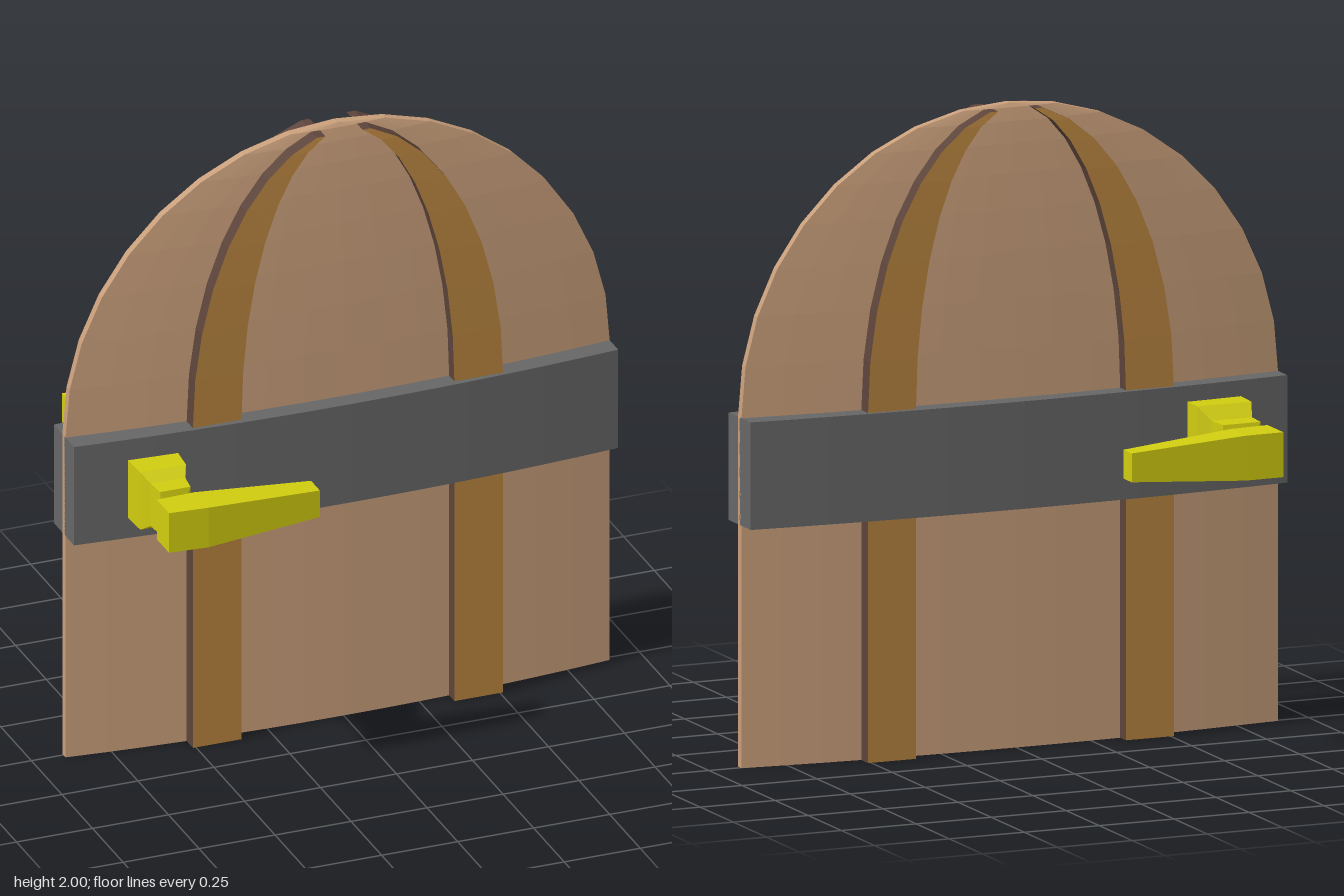
import * as THREE from 'three';

const mat = (color) => new THREE.MeshStandardMaterial({ color, flatShading: true, roughness: 0.8 });

// Skin a solid through equal-length rings; one material, or one per side plus one for the caps.
function loft(name, rings, material) {
  const n = rings[0].length, last = rings.length - 1;
  const tris = [];
  const groups = [];
  for (let j = 0; j < n; j++) {
    const k = (j + 1) % n, start = tris.length;
    for (let i = 0; i < last; i++) {
      const a = rings[i][j], b = rings[i][k], c = rings[i + 1][k], d = rings[i + 1][j];
      tris.push([a, b, c], [a, c, d]);
    }
    groups.push([start, tris.length - start]);
  }
  const capStart = tris.length;
  for (let j = 1; j < n - 1; j++) {
    tris.push([rings[0][0], rings[0][j + 1], rings[0][j]]);
    tris.push([rings[last][0], rings[last][j], rings[last][j + 1]]);
  }
  groups.push([capStart, tris.length - capStart]);

  // turn the faces outward, whichever way the rings run
  let volume = 0;
  for (const [a, b, c] of tris) {
    volume += new THREE.Vector3(...a).dot(new THREE.Vector3(...b).cross(new THREE.Vector3(...c)));
  }
  if (volume < 0) tris.forEach((t) => t.reverse());

  const geo = new THREE.BufferGeometry();
  geo.setAttribute('position', new THREE.Float32BufferAttribute(tris.flat(2), 3));
  if (Array.isArray(material)) groups.forEach(([s, c], m) => geo.addGroup(s * 3, c * 3, m));
  geo.computeVertexNormals();
  const mesh = new THREE.Mesh(geo, material);
  mesh.name = name;
  return mesh;
}

export function createModel() {
  const wood = mat(0xc89e7a), strapWood = mat(0xb8843f), darkWood = mat(0x5c443a);
  const iron = mat(0x666666), brass = mat(0xd0cc10);
  const door = new THREE.Group();
  door.name = 'archedDoor';
  const W = 0.895, SPRING = 1.09, RISE = 0.91, ZC = 0.005;

  // heights of the arch: floor, then every ten degrees up to the crown
  const rows = [{ y: 0, c: 1 }];
  for (let i = 0; i <= 9; i++) {
    const t = (i * Math.PI) / 18;
    rows.push({ y: SPRING + RISE * Math.sin(t), c: Math.max(Math.cos(t), 0) });
  }

  // Lens-shaped outline seen from above, front edge then back edge
  const lens = (y, halfWidth, edge, bulge, steps) => {
    const ring = [];
    for (const s of [1, -1]) {
      for (let i = 0; i <= steps; i++) {
        const u = s * (-1 + (2 * i) / steps);
        ring.push([u * halfWidth, y, ZC + s * (edge + bulge * (1 - u * u))]);
      }
    }
    return ring;
  };

  // door leaf
  const leafRings = rows.map(({ y, c }) => lens(y, W * c, 0.013, 0.05 * c, 14));
  const leafMats = leafRings[0].map(() => wood);
  leafMats.push(darkWood);
  door.add(loft('doorLeaf', leafRings, leafMats));

  // iron band across the leaf
  door.add(loft('crossBand', [0.755, SPRING].map((y) => lens(y, W, 0.083, 0.042, 14)), iron));

  // curved straps, two on each face
  for (const side of [1, -1]) {
    for (const face of [1, -1]) {
      const rings = rows.slice(0, -1).map(({ y, c }) => {
        const z = ZC + face * (0.058 + 0.04 * c);
        const outer = side * 0.51 * c, inner = side * 0.35 * c;
        return [[inner, y, z], [outer, y, z], [outer, y, ZC], [inner, y, ZC]];
      });
      door.add(loft('strap', rings, [strapWood, darkWood, darkWood, darkWood, darkWood]));
    }
  }

  // handles: rectangular sections [position, min, max, min, max]
  const alongZ = ([z, x0, x1, y0, y1]) => [[x0, y0, z], [x1, y0, z], [x1, y1, z], [x0, y1, z]];
  const alongX = ([x, z0, z1, y0, y1]) => [[x, y0, z0], [x, y0, z1], [x, y1, z1], [x, y1, z0]];
  const addHandle = (name, shank, lever) => {
    const handle = new THREE.Group();
    handle.name = name;
    handle.add(loft('shank', shank.map(alongZ), brass), loft('lever', lever.map(alongX), brass));
    door.add(handle);
  };
  addHandle('frontHandle', [
    [0.08, -0.725, -0.56, 0.825, 1.02],
    [0.195, -0.72, -0.57, 0.825, 1.02],
    [0.23, -0.7, -0.587, 0.85, 0.995],
    [0.295, -0.695, -0.595, 0.85, 0.995],
    [0.3, -0.685, -0.61, 0.885, 0.965],
    [0.335, -0.71, -0.595, 0.86, 0.99],
  ], [
    [-0.72, 0.33, 0.43, 0.855, 0.99],
    [-0.595, 0.325, 0.44, 0.855, 0.99],
    [-0.22, 0.348, 0.42, 0.88, 0.97],
  ]);
  addHandle('backHandle', [
    [-0.08, -0.735, -0.55, 0.805, 1.04],
    [-0.18, -0.73, -0.55, 0.805, 1.04],
    [-0.22, -0.715, -0.58, 0.845, 1.0],
    [-0.295, -0.71, -0.585, 0.845, 1.0],
    [-0.3, -0.7, -0.595, 0.865, 0.98],
    [-0.335, -0.68, -0.61, 0.885, 0.965],
  ], [
    [-0.72, -0.445, -0.325, 0.855, 0.995],
    [-0.595, -0.448, -0.335, 0.855, 0.995],
    [-0.215, -0.443, -0.38, 0.88, 0.97],
  ]);
  return door;
}
